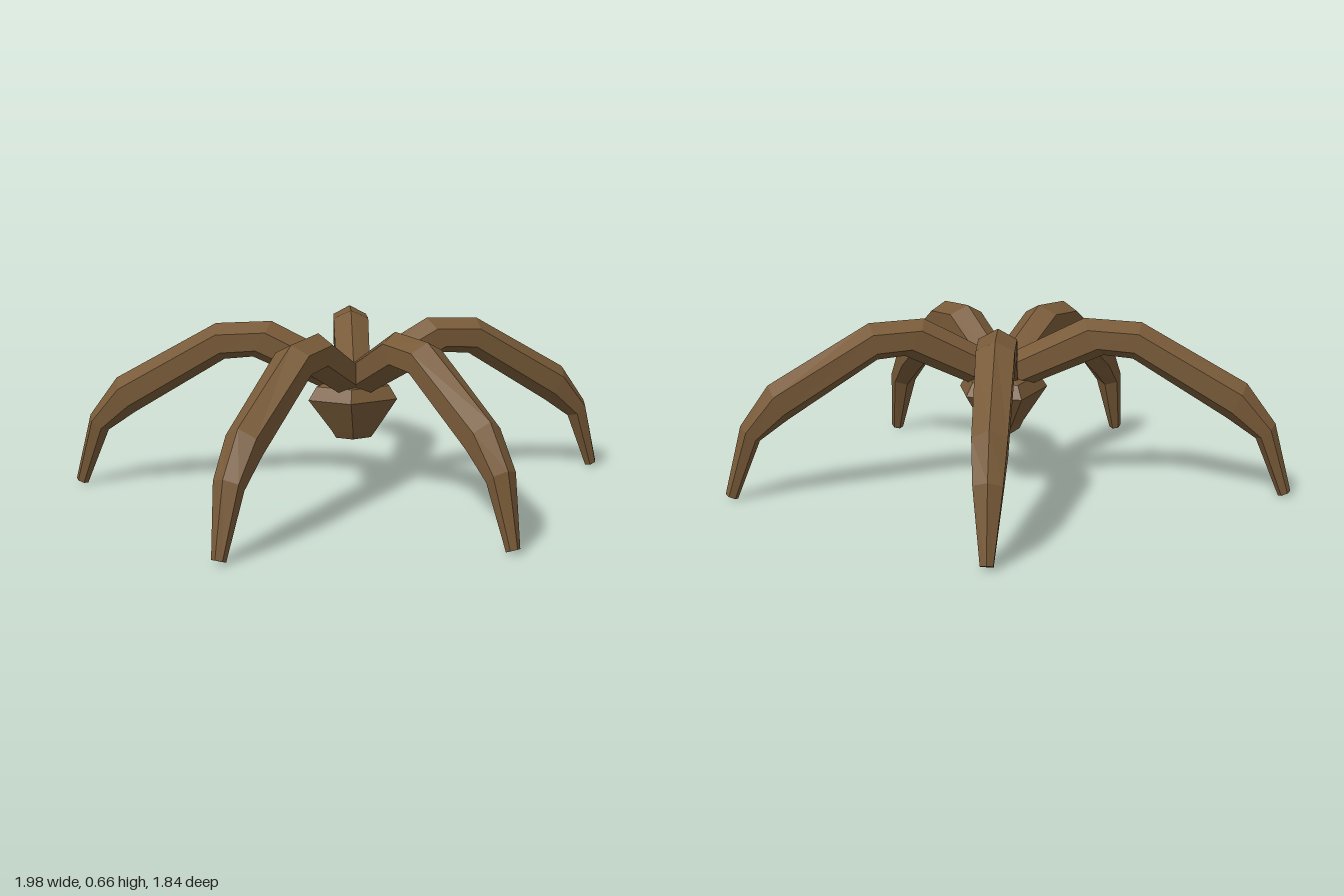
import * as THREE from 'three';

// Skin a list of equal-length rings (counter-clockwise seen from the last ring) and cap both ends
function loft(rings) {
  const pos = [];
  const tri = (a, b, c) => pos.push(...a, ...b, ...c);
  const n = rings[0].length;
  for (let i = 0; i < rings.length - 1; i++) {
    const p = rings[i], q = rings[i + 1];
    for (let k = 0; k < n; k++) {
      const m = (k + 1) % n;
      tri(p[k], p[m], q[k]);
      tri(p[m], q[m], q[k]);
    }
  }
  const first = rings[0], last = rings[rings.length - 1];
  for (let k = 1; k < n - 1; k++) {
    tri(first[0], first[k + 1], first[k]);
    tri(last[0], last[k], last[k + 1]);
  }
  const g = new THREE.BufferGeometry();
  g.setAttribute('position', new THREE.Float32BufferAttribute(pos, 3));
  g.computeVertexNormals();
  return g;
}

// Leg sections: top radius, top y, bottom radius, bottom y, half width
const SECTIONS = [
  [0.0, 0.50, 0.05, 0.37, 0.065],
  [0.28, 0.66, 0.355, 0.52, 0.07],
  [0.48, 0.65, 0.45, 0.51, 0.068],
  [0.84, 0.43, 0.77, 0.295, 0.06],
  [0.94, 0.28, 0.87, 0.22, 0.05],
  [1.0, 0.02, 0.955, 0.0, 0.022],
];

// Hexagonal leg along +x with a ridge on top
function legGeometry(length) {
  return loft(SECTIONS.map(([tr, ty, br, by, w]) => {
    const ring = [];
    for (let k = 0; k < 6; k++) {
      const a = (k * Math.PI) / 3, c = Math.cos(a);
      ring.push([
        ((tr + br) / 2) * length + ((tr - br) / 2) * c,
        (ty + by) / 2 + ((ty - by) / 2) * c,
        (w / 0.866) * Math.sin(a),
      ]);
    }
    return ring;
  }));
}

export function createModel() {
  const model = new THREE.Group();
  const brown = new THREE.MeshStandardMaterial({ color: 0x785a38, flatShading: true });
  brown.name = 'brown';
  const cx = -0.05, cz = -0.04;

  // Faceted five-sided body: outline, then [y, scale, z shift] per level
  const outline = [[0.12, -0.1], [-0.05, -0.23], [-0.24, -0.05], [-0.13, 0.09], [0.07, 0.09]];
  const levels = [[0.21, 0.4, 0], [0.24, 0.5, 0.005], [0.37, 1, 0], [0.42, 0.82, 0], [0.45, 0.3, 0]];
  const body = new THREE.Mesh(loft(levels.map(([y, s, dz]) =>
    outline.map(([x, z]) => [cx + (x - cx) * s, y, cz + (z - cz) * s + dz]))), brown);
  body.name = 'body';
  model.add(body);

  // Five arched legs, each aimed at its foot
  const feet = [[0.06, 0.92], [0.995, 0.15], [0.38, -0.92], [-0.99, -0.63], [-0.87, 0.53]];
  feet.forEach(([x, z], i) => {
    const dx = x - cx, dz = z - cz;
    const leg = new THREE.Mesh(legGeometry(Math.hypot(dx, dz)), brown);
    leg.name = 'leg' + (i + 1);
    leg.position.set(cx, 0, cz);
    leg.rotation.y = -Math.atan2(dz, dx);
    model.add(leg);
  });
  return model;
}
